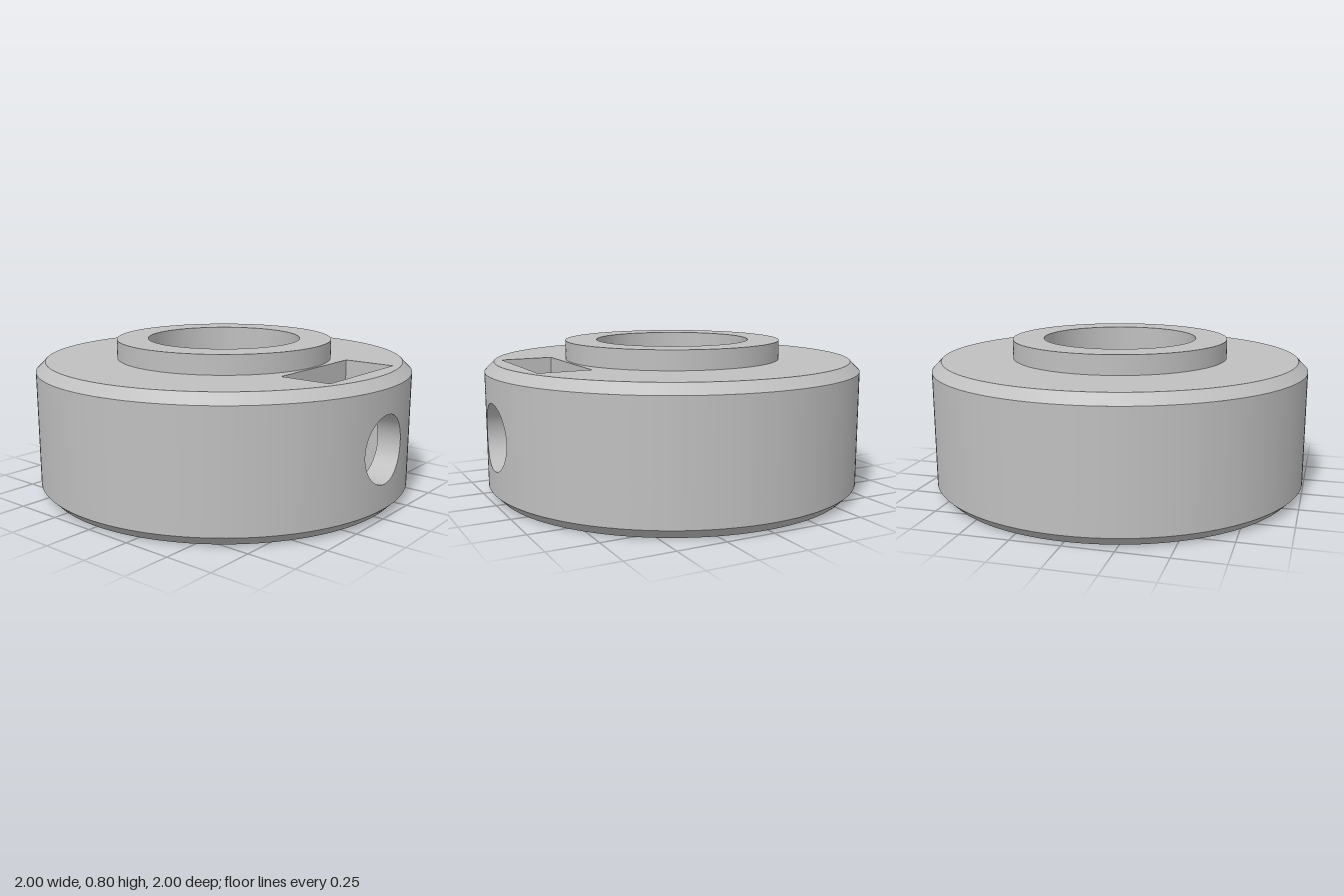
import * as THREE from 'three';
import { ParametricGeometry } from 'three/addons/geometries/ParametricGeometry.js';

const R = 1, BORE = 0.408, BOSS = 0.575, CHAMFER = 0.05;
const TOP = 0.7, BOSS_TOP = 0.8, SEG = 160;
const HOLE_Y = 0.35, HOLE_R = 0.172, PATCH = 0.3; // cross hole and the square wall patch around it
const X0 = 0.59, X1 = 0.86, HALF_Z = 0.295, FLOOR = 0.06; // nut pocket

export function createModel() {
  const group = new THREE.Group();
  const steel = new THREE.MeshStandardMaterial({ color: 0xbfbfbf });
  steel.name = 'grey steel';

  const add = (name, geometry) => {
    const mesh = new THREE.Mesh(geometry, steel);
    mesh.name = name;
    group.add(mesh);
    return mesh;
  };

  // One band of the turned profile; an open band leaves a gap at +x for the cross hole
  const band = (name, r0, y0, r1, y1, open = false) => {
    const gap = open ? Math.asin(PATCH / r0) : 0;
    const points = [new THREE.Vector2(r0, y0), new THREE.Vector2(r1, y1)];
    add(name, new THREE.LatheGeometry(points, SEG, Math.PI / 2 + gap, 2 * Math.PI - 2 * gap));
  };
  const low = HOLE_Y - PATCH, high = HOLE_Y + PATCH;
  band('bottomFace', BORE, 0, R - CHAMFER, 0);
  band('bottomChamfer', R - CHAMFER, 0, R, low);
  band('outerWall', R, low, R, high, true);
  band('topChamfer', R, high, R - CHAMFER, TOP);
  band('bossWall', BOSS, TOP, BOSS, BOSS_TOP);
  band('bossTop', BOSS, BOSS_TOP, BORE, BOSS_TOP);
  band('boreUpper', BORE, BOSS_TOP, BORE, high);
  band('boreMiddle', BORE, high, BORE, low, true);
  band('boreLower', BORE, low, BORE, 0);

  // Curved square of wall pierced by the round cross hole
  const piercedPatch = (name, radius, direction) => {
    add(name, new ParametricGeometry((u, v, target) => {
      const a = direction * u * Math.PI * 2;
      const c = Math.cos(a), s = Math.sin(a);
      const edge = PATCH / Math.max(Math.abs(c), Math.abs(s));
      const d = THREE.MathUtils.lerp(HOLE_R, edge, v);
      const z = c * d;
      target.set(Math.sqrt(radius * radius - z * z), HOLE_Y + s * d, z);
    }, 96, 12));
  };
  piercedPatch('outerHolePatch', R, 1);
  piercedPatch('boreHolePatch', BORE, -1);

  // Cross hole, on both sides of the pocket
  const tunnel = (name, startX, endX) => {
    add(name, new ParametricGeometry((u, v, target) => {
      const a = u * Math.PI * 2;
      const z = Math.cos(a) * HOLE_R;
      target.set(THREE.MathUtils.lerp(startX(z), endX(z), v), HOLE_Y + Math.sin(a) * HOLE_R, z);
    }, 96, 1));
  };
  const onCylinder = (radius) => (z) => Math.sqrt(radius * radius - z * z);
  tunnel('innerCrossHole', onCylinder(BORE), () => X0);
  tunnel('outerCrossHole', () => X1, onCylinder(R));

  // Top face around the boss, with the pocket opening
  const circle = (x, y, r) => new THREE.Path().absarc(x, y, r, 0, Math.PI * 2);
  const rectangle = (x0, y0, x1, y1) => [[x0, y0], [x1, y0], [x1, y1], [x0, y1]]
    .map(([x, y]) => new THREE.Vector2(x, y));
  const face = new THREE.Shape().absarc(0, 0, R - CHAMFER, 0, Math.PI * 2);
  face.holes.push(circle(0, 0, BOSS), new THREE.Path(rectangle(X0, -HALF_Z, X1, HALF_Z)));
  add('topFace', new THREE.ShapeGeometry(face, SEG / 2).rotateX(-Math.PI / 2)).position.y = TOP;

  // Long pocket walls, pierced by the cross hole
  for (const [name, x, side] of [['pocketInnerWall', X0, 1], ['pocketOuterWall', X1, -1]]) {
    const wall = new THREE.Shape(rectangle(-HALF_Z, FLOOR, HALF_Z, TOP));
    wall.holes.push(circle(0, HOLE_Y, HOLE_R));
    add(name, new THREE.ShapeGeometry(wall, 48).rotateY(side * Math.PI / 2)).position.x = x;
  }

  // Short pocket walls and floor
  const midX = (X0 + X1) / 2, width = X1 - X0;
  for (const side of [-1, 1]) {
    const end = new THREE.PlaneGeometry(width, TOP - FLOOR);
    if (side > 0) end.rotateY(Math.PI);
    add(side > 0 ? 'pocketFrontWall' : 'pocketBackWall', end)
      .position.set(midX, (TOP + FLOOR) / 2, side * HALF_Z);
  }
  add('pocketFloor', new THREE.PlaneGeometry(width, HALF_Z * 2).rotateX(-Math.PI / 2))
    .position.set(midX, FLOOR, 0);

  return group;
}
